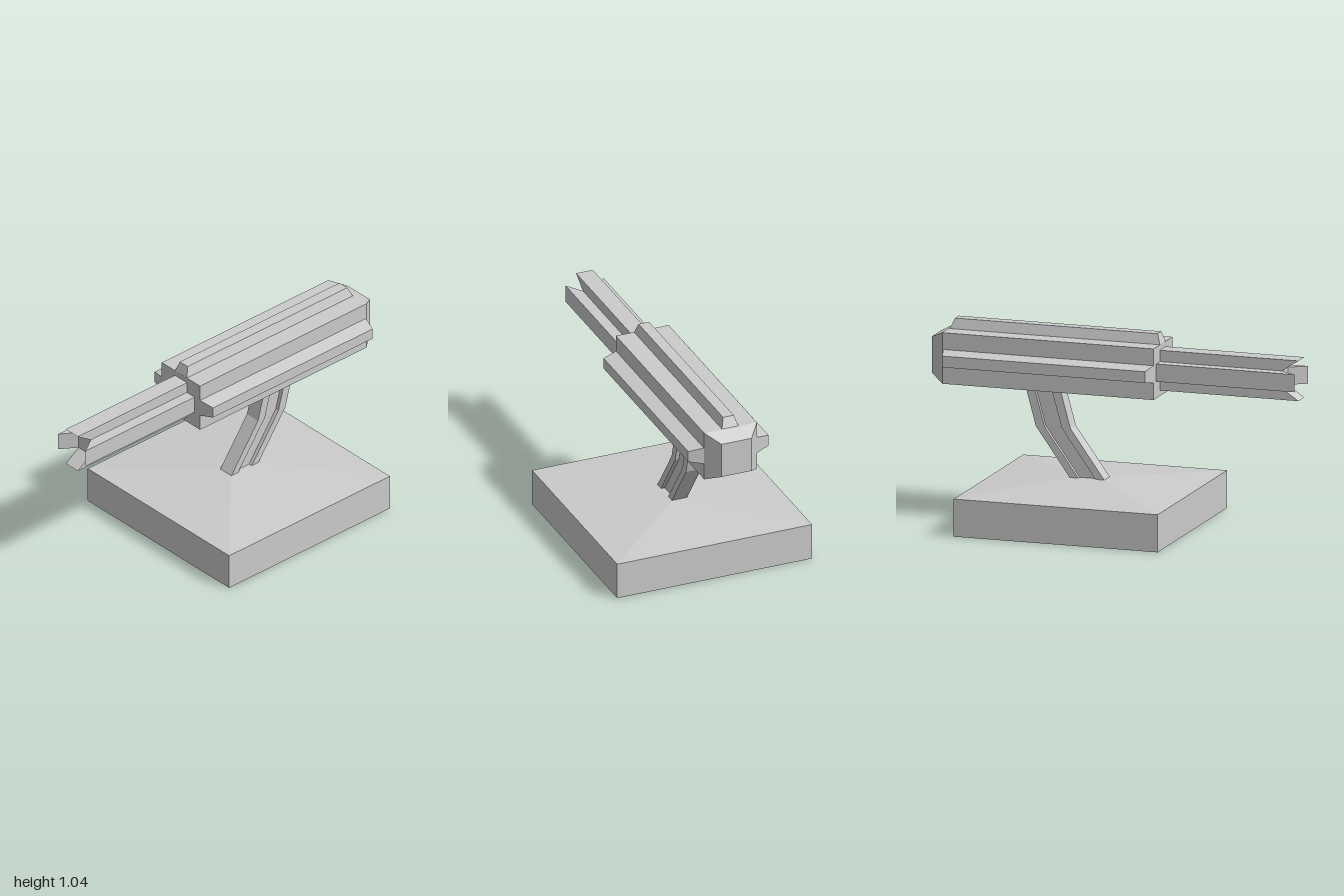
import * as THREE from 'three';
import { ConvexGeometry } from 'three/addons/geometries/ConvexGeometry.js';

const material = new THREE.MeshStandardMaterial({ color: 0xcccccc, flatShading: true });
const axisY = 0.849, axisZ = -0.004; // centre line of the body and barrel

function addMesh(parent, name, geometry) {
  const mesh = new THREE.Mesh(geometry, material);
  mesh.name = name;
  parent.add(mesh);
  return mesh;
}

// Rectangle corners at height y
const level = (y, x0, x1, z) => [[x0, -z], [x1, -z], [x1, z], [x0, z]]
  .map(([x, zz]) => new THREE.Vector3(x, y, zz));

// Rectangle corners at station x, centred on the body axis
const station = (x, h, w) => [[-h, -w], [h, -w], [h, w], [-h, w]]
  .map(([y, z]) => new THREE.Vector3(x, y, z));

// Solid spanning two or more rectangles
const solid = (...rects) => new ConvexGeometry(rects.flat());

// Bent support with an H-shaped section
function supportGeometry() {
  const a = 0.095, b = 0.047, w = 0.043, g = 0.022;
  const shape = new THREE.Shape([
    [-a, -w], [-b, -w], [-b, -g], [b, -g], [b, -w], [a, -w],
    [a, w], [b, w], [b, g], [-b, g], [-b, w], [-a, w],
  ].map(([x, y]) => new THREE.Vector2(x, y)));
  const geometry = new THREE.ExtrudeGeometry(shape, { depth: 2, steps: 2, bevelEnabled: false });
  geometry.rotateX(-Math.PI / 2);
  const bends = [[0.157, 0.23], [0.35, 0.5], [0.41, 0.72]];
  const p = geometry.attributes.position;
  for (let i = 0; i < p.count; i++) {
    const [x, y] = bends[Math.round(p.getY(i))];
    p.setXYZ(i, p.getX(i) + x, y, p.getZ(i));
  }
  geometry.computeVertexNormals();
  return geometry;
}

export function createModel() {
  const model = new THREE.Group();
  model.name = 'mountedCannon';

  // Base slab with a shallow hipped top
  addMesh(model, 'base', solid(
    level(0, -0.4, 0.72, 0.55), level(0.2, -0.4, 0.72, 0.55), level(0.24, 0.07, 0.26, 0.043)));
  addMesh(model, 'support', supportGeometry());

  const gun = new THREE.Group();
  gun.name = 'gun';
  gun.position.set(0, axisY, axisZ);
  model.add(gun);

  // Housing with a tapered end
  addMesh(gun, 'housing', solid(
    station(-0.24, 0.136, 0.149), station(0.92, 0.136, 0.149), station(1, 0.096, 0.085)));

  // Bevelled ridges on the top and both sides
  const ridges = [['topRidge', 0, 0.134, 0.19], ['leftRidge', 1, 0.147, 0.227], ['rightRidge', -1, 0.147, 0.227]];
  for (const [name, turn, low, high] of ridges) {
    const ridge = addMesh(gun, name, solid(
      level(low, -0.24, 0.917, 0.047), level(high, -0.22, 0.892, 0.03)));
    ridge.rotation.x = turn * Math.PI / 2;
  }

  // Cross-shaped barrel whose four fins rake forward around a recessed core
  addMesh(gun, 'barrelCore', solid(station(-0.91, 0.047, 0.047), station(-0.23, 0.047, 0.047)));
  for (let i = 0; i < 4; i++) {
    const fin = addMesh(gun, 'barrelFin', solid(
      level(0.047, -0.91, -0.23, 0.047), level(0.107, -1, -0.23, 0.047)));
    fin.rotation.x = i * Math.PI / 2;
  }
  return model;
}
